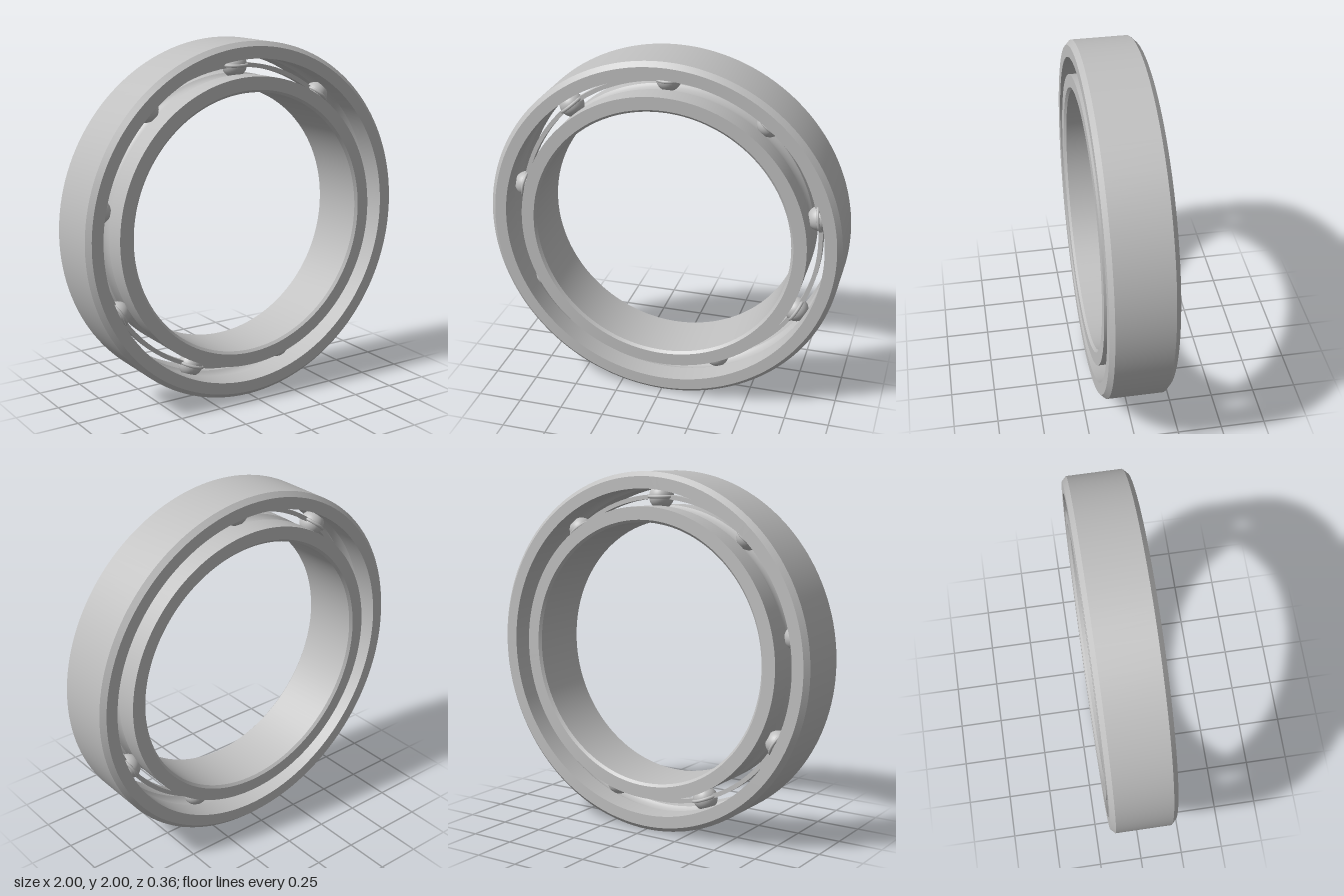
import * as THREE from 'three';
import { toCreasedNormals } from 'three/addons/utils/BufferGeometryUtils.js';

const HALF = 0.18;      // half the bearing width
const PITCH = 0.86;     // radius of the ball circle
const BALL = 0.069;
const GROOVE = 0.071;
const COUNT = 9;

// Closed cross-section (radius, depth) turned around the z axis
function turned(points, crease = 0.4) {
  const pts = [...points, points[0]].map(([r, z]) => new THREE.Vector2(r, z));
  const g = new THREE.LatheGeometry(pts, 144);
  g.rotateX(Math.PI / 2);
  return toCreasedNormals(g, crease);
}

// Arc of the ball groove cut into a wall at the given radius
function groove(wall, zDirection) {
  const side = Math.sign(wall - PITCH);
  const limit = Math.acos(Math.abs(wall - PITCH) / GROOVE);
  return Array.from({ length: 11 }, (_, i) => {
    const a = zDirection * limit * (i / 5 - 1);
    return [PITCH + side * GROOVE * Math.cos(a), GROOVE * Math.sin(a)];
  });
}

export function createModel() {
  const model = new THREE.Group();
  model.name = 'ballBearing';
  const steel = new THREE.MeshStandardMaterial({ color: 0xc0c0c0 });
  steel.name = 'steel';

  const bearing = new THREE.Group();
  bearing.name = 'bearing';
  bearing.position.y = 1;
  model.add(bearing);

  const add = (name, geometry, parent = bearing) => {
    const mesh = new THREE.Mesh(geometry, steel);
    mesh.name = name;
    parent.add(mesh);
    return mesh;
  };

  // Outer race with chamfered rim and groove on its inside
  const oc = 0.026, oi = 0.908;
  add('outerRace', turned([
    [1, -HALF + oc], [1, HALF - oc], [1 - oc, HALF], [oi, HALF],
    ...groove(oi, -1),
    [oi, -HALF], [1 - oc, -HALF],
  ]));

  // Inner race with chamfered bore and groove on its outside
  const ic = 0.014, bore = 0.727, io = 0.813;
  add('innerRace', turned([
    [io, -HALF], ...groove(io, 1), [io, HALF],
    [bore + ic, HALF], [bore, HALF - ic], [bore, -HALF + ic], [bore + ic, -HALF],
  ]));

  // Thin cage band between the races
  const ci = 0.848, co = 0.872, cz = 0.02;
  add('cageBand', turned([[co, -cz], [co, cz], [ci, cz], [ci, -cz]]));

  // Balls, each held by a pocket ring of the cage
  const ballGeometry = new THREE.SphereGeometry(BALL, 32, 20);
  const pocketGeometry = new THREE.TorusGeometry(BALL, 0.009, 8, 40);
  pocketGeometry.rotateX(Math.PI / 2);
  for (let i = 0; i < COUNT; i++) {
    const station = new THREE.Group();
    station.name = `ballStation${i + 1}`;
    station.rotation.z = (i / COUNT) * Math.PI * 2;
    bearing.add(station);
    add('ball', ballGeometry, station).position.y = PITCH;
    add('cagePocket', pocketGeometry, station).position.y = PITCH;
  }
  return model;
}
